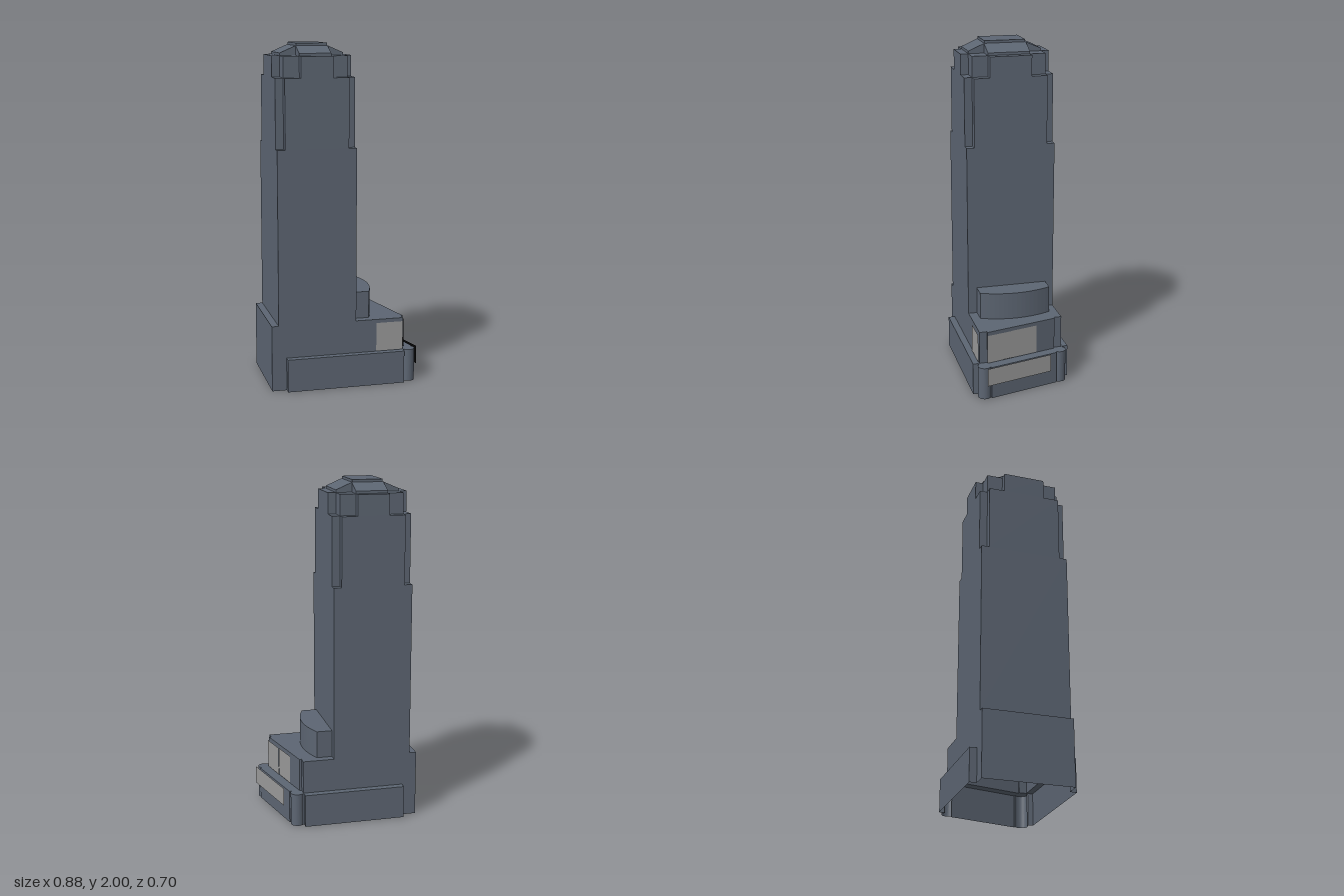
import * as THREE from 'three';
import { mergeGeometries } from 'three/addons/utils/BufferGeometryUtils.js';

const stone = new THREE.MeshStandardMaterial({ color: 0x5c6572, flatShading: true, side: THREE.DoubleSide });
const pale = new THREE.MeshStandardMaterial({ color: 0x999999 });
const dark = new THREE.MeshStandardMaterial({ color: 0x050505 });

// Tower plan limits: p runs along the block, q across it
const P0 = -0.371, P1 = 0.092, Q0 = -0.266, Q1 = 0.259;
const SMALL = 0.046, LARGE = 0.139;

function add(parent, name, geometry, material = stone) {
  const mesh = new THREE.Mesh(geometry, material);
  mesh.name = name;
  parent.add(mesh);
  return mesh;
}

// Upright walls around a clockwise plan outline of [p, q] points
function walls(outline, y0, y1) {
  const pos = [];
  outline.forEach(([ap, aq], i) => {
    const [bp, bq] = outline[(i + 1) % outline.length];
    pos.push(bp, y0, bq, ap, y0, aq, ap, y1, aq, bp, y0, bq, ap, y1, aq, bp, y1, bq);
  });
  const g = new THREE.BufferGeometry();
  g.setAttribute('position', new THREE.Float32BufferAttribute(pos, 3));
  g.computeVertexNormals();
  return g;
}

// Flat deck over a plan outline
function deck(outline, y) {
  const shape = new THREE.Shape(outline.map(([p, q]) => new THREE.Vector2(p, -q)));
  const g = new THREE.ShapeGeometry(shape).toNonIndexed();
  g.deleteAttribute('uv');
  return g.rotateX(-Math.PI / 2).translate(0, y, 0);
}

// Storey open underneath; its deck may cover a different outline
function storey(parent, name, outline, y0, y1, top = outline) {
  return add(parent, name, mergeGeometries([walls(outline, y0, y1), deck(top, y1)]));
}

const rect = (p0, p1, q0, q1) => [[p0, q0], [p1, q0], [p1, q1], [p0, q1]];

// Points of a round corner column, angles in degrees
function columnArc(p, q, from, to) {
  return Array.from({ length: 25 }, (_, i) => {
    const a = THREE.MathUtils.degToRad(from + (to - from) * i / 24);
    return [p + 0.039 * Math.cos(a), q + 0.039 * Math.sin(a)];
  });
}

// Tower plan with stepped corners; each step is an inset [dp, dq] from the sides
function steppedPlan(steps) {
  const back = [...steps].reverse();
  const corner = (list, sp, sq) => list.map(([a, b]) => [
    sp > 0 ? P1 - a : P0 + a, sq > 0 ? Q1 - b : Q0 + b]);
  return [
    ...corner(steps, 1, 1), ...corner(back, -1, 1),
    ...corner(steps, -1, -1), ...corner(back, 1, -1),
  ];
}

// Thin upright panel between two plan points: pale face, dark back
function panel(parent, name, x0, z0, x1, z1, y0, y1) {
  const dx = x1 - x0, dz = z1 - z0;
  const group = new THREE.Group();
  group.name = name;
  const g = new THREE.PlaneGeometry(Math.hypot(dx, dz), y1 - y0);
  add(group, 'panelFace', g, pale);
  add(group, 'panelBack', g, dark).rotation.y = Math.PI;
  group.position.set((x0 + x1) / 2, (y0 + y1) / 2, (z0 + z1) / 2);
  group.rotation.y = Math.atan2(-dz, dx);
  parent.add(group);
}

// Roof block: hipped section drawn across [a0, a1], extruded over depth
function roofSection(a0, a1, run, depth) {
  const s = new THREE.Shape([
    [a0, 1.93], [a1, 1.93], [a1, 1.945], [a1 - run, 1.985], [a0 + run, 1.985], [a0, 1.945],
  ].map(([a, y]) => new THREE.Vector2(a, y)));
  return new THREE.ExtrudeGeometry(s, { depth, bevelEnabled: false });
}

export function createModel() {
  const model = new THREE.Group();
  model.name = 'tower';
  const block = new THREE.Group();
  block.name = 'building';
  block.rotation.y = -0.1388;
  model.add(block);

  // Lower storey: projects on three sides, with round columns in the recessed corners
  const skirt = [
    [-0.326, Q0], [-0.326, -0.308], [0.275, -0.308], [0.273, -0.277],
    ...columnArc(0.309, -0.245, -135, 44),
    [0.351, -0.218], [0.452, 0.204],
    ...columnArc(0.418, 0.2385, -57, 141),
    [0.381, 0.268], [0.378, 0.2985], [-0.326, 0.2985], [-0.326, Q1],
  ];
  const podiumEnd = [
    [0.277, Q0], [0.277, -0.22], [0.29, -0.22], [0.391, 0.213], [0.378, 0.213], [0.38, Q1],
  ];
  const rear = [[-0.412, Q1], [-0.412, Q0]];
  storey(block, 'lowerStorey', [...skirt, ...rear], 0, 0.195,
    [...skirt, ...[...podiumEnd].reverse()]);

  // Podium above it
  storey(block, 'podium', [...podiumEnd, ...rear], 0.195, 0.39);

  // Curved bay against the shaft
  const bay = [[0.05, 0.207], [0.05, -0.217]];
  for (let i = 0; i <= 16; i++) {
    const t = i / 8 - 1;
    bay.push([0.183 + 0.047 * (1 - t * t), -0.005 + 0.212 * t]);
  }
  storey(block, 'curvedBay', bay, 0.39, 0.55);

  // Shaft and its setbacks
  storey(block, 'shaft', rect(P0, P1, Q0, Q1), 0.39, 1.41);
  storey(block, 'upperShaft', steppedPlan([
    [0, SMALL], [SMALL, SMALL], [SMALL, 0],
  ]), 1.41, 1.81);
  storey(block, 'crown', steppedPlan([
    [0, LARGE], [SMALL, LARGE], [SMALL, SMALL], [LARGE, SMALL], [LARGE, 0],
  ]), 1.81, 1.93);

  // Cross-shaped sloping roof and cap
  const run = LARGE - SMALL;
  const p0 = P0 + LARGE, p1 = P1 - LARGE, q0 = Q0 + LARGE, q1 = Q1 - LARGE;
  add(block, 'roofAlong', roofSection(P0 + SMALL, P1 - SMALL, run, q1 - q0).translate(0, 0, q0));
  add(block, 'roofAcross', roofSection(-Q1 + SMALL, -Q0 - SMALL, run, p1 - p0)
    .rotateY(Math.PI / 2).translate(p0, 0, 0));
  storey(block, 'roofCap', rect(p0 + 0.003, p1 - 0.003, q0 + 0.003, q1 - 0.003), 1.98, 2);

  // Pale panels on the podium and lower storey
  panel(model, 'sidePanel', 0.175, 0.293, 0.335, 0.315, 0.2, 0.37);
  panel(model, 'endPanel', 0.364, 0.27, 0.351, 0.105, 0.2, 0.37);
  panel(model, 'endPanel', 0.348, 0.105, 0.334, -0.055, 0.2, 0.37);
  panel(model, 'lowerPanel', 0.438, 0.295, 0.397, -0.122, 0.09, 0.198);
  return model;
}
